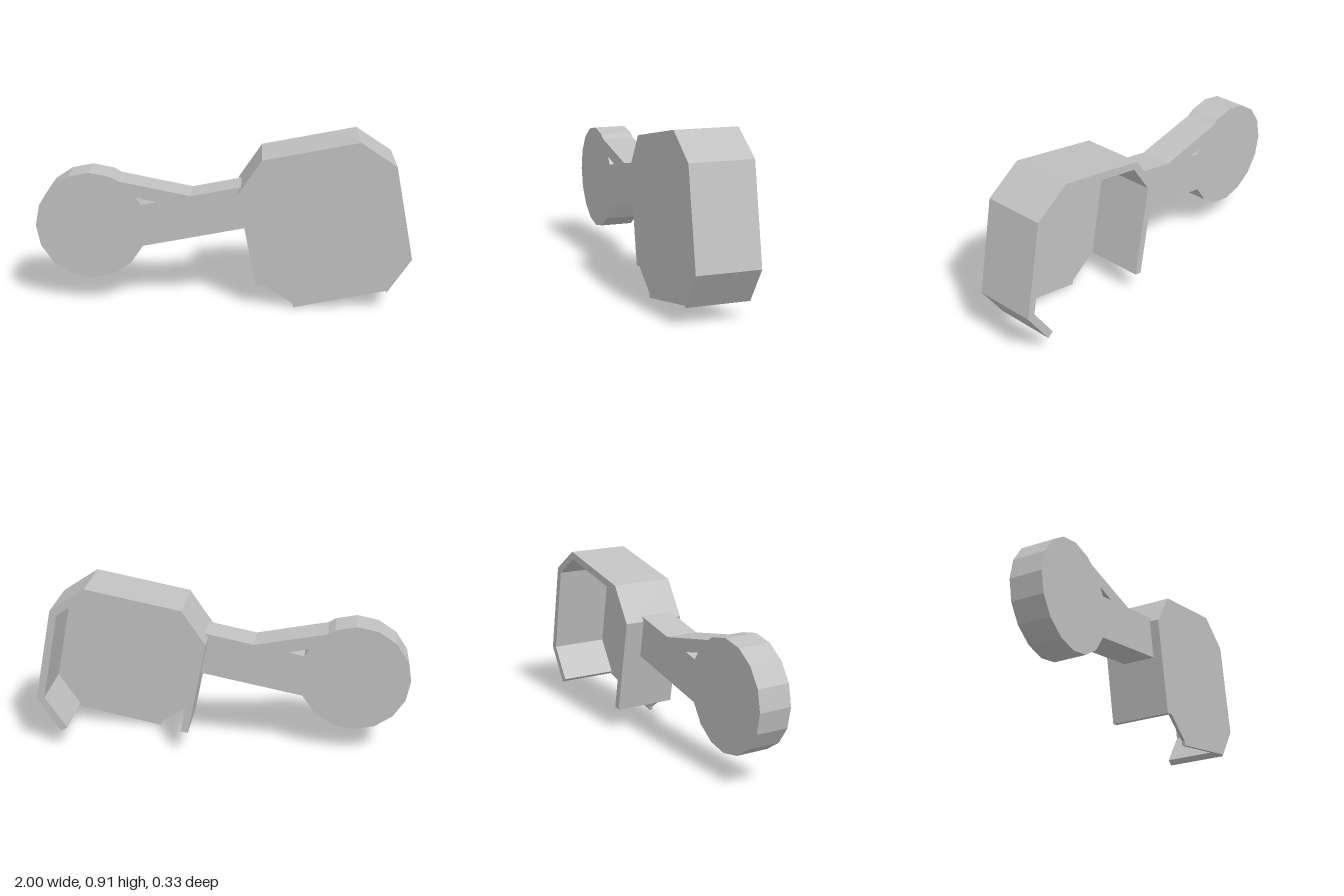
import * as THREE from 'three';

const grey = new THREE.MeshStandardMaterial({ color: 0xc0c0c0 });
grey.name = 'plain grey';

const vectors = (points) => points.map(([x, y]) => new THREE.Vector2(x, y));

// Flat panel or block: an outline in x/y extruded from z0 to z1
function slab(name, outline, z0, z1, holes = []) {
  const shape = new THREE.Shape(outline);
  for (const hole of holes) shape.holes.push(new THREE.Path(hole));
  const geometry = new THREE.ExtrudeGeometry(shape, { depth: z1 - z0, bevelEnabled: false });
  geometry.translate(0, 0, z0);
  const mesh = new THREE.Mesh(geometry, grey);
  mesh.name = name;
  return mesh;
}

// Mitred copy of an open path, shifted to its right-hand side
function offsetPath(path, distance) {
  const normal = (a, b) => new THREE.Vector2(b.y - a.y, a.x - b.x).normalize();
  return path.map((p, i) => {
    const before = normal(path[Math.max(i - 1, 0)], path[Math.max(i, 1)]);
    const last = path.length - 1;
    const after = normal(path[Math.min(i, last - 1)], path[Math.min(i + 1, last)]);
    const miter = before.clone().add(after).normalize();
    return p.clone().addScaledVector(miter, distance / miter.dot(after));
  });
}

export function createModel() {
  const model = new THREE.Group();
  model.name = 'armWithHousing';

  // Housing rim, running clockwise and left open along the bottom
  const rim = vectors([
    [0.175, 0.118], [0.075, 0.63], [0.2, 0.815], [0.705, 0.914],
    [0.896, 0.787], [0.996, 0.28], [0.87, 0.092],
  ]);
  const inner = offsetPath(rim, 0.04);
  const housing = new THREE.Group();
  housing.name = 'housing';
  housing.add(slab('housingWall', [...rim, ...inner.slice().reverse()], -0.167, 0.15));

  // Front cover closes the housing and reaches below the wall ends
  const lowerEdge = vectors([[0.862, 0.101], [0.376, 0], [0.37, 0.024], [0.217, 0.127]]);
  housing.add(slab('frontCover', [...rim, ...lowerEdge], 0.15, 0.167));
  model.add(housing);

  // Arm with a sixteen-sided round end and a small triangular opening
  const arm = vectors([[0.139, 0.434], [0.095, 0.656], [-0.17, 0.603], [-0.555, 0.68]]);
  for (let i = 3; i <= 15; i++) {
    const angle = i * Math.PI / 8;
    if (i < 15) arm.push(new THREE.Vector2(-0.705 + 0.294 * Math.cos(angle), 0.432 + 0.294 * Math.sin(angle)));
  }
  arm.push(new THREE.Vector2(-0.43, 0.322));
  const opening = vectors([[-0.462, 0.592], [-0.435, 0.55], [-0.353, 0.568]]);
  model.add(slab('arm', arm, -0.063, 0.117, [opening]));

  return model;
}
